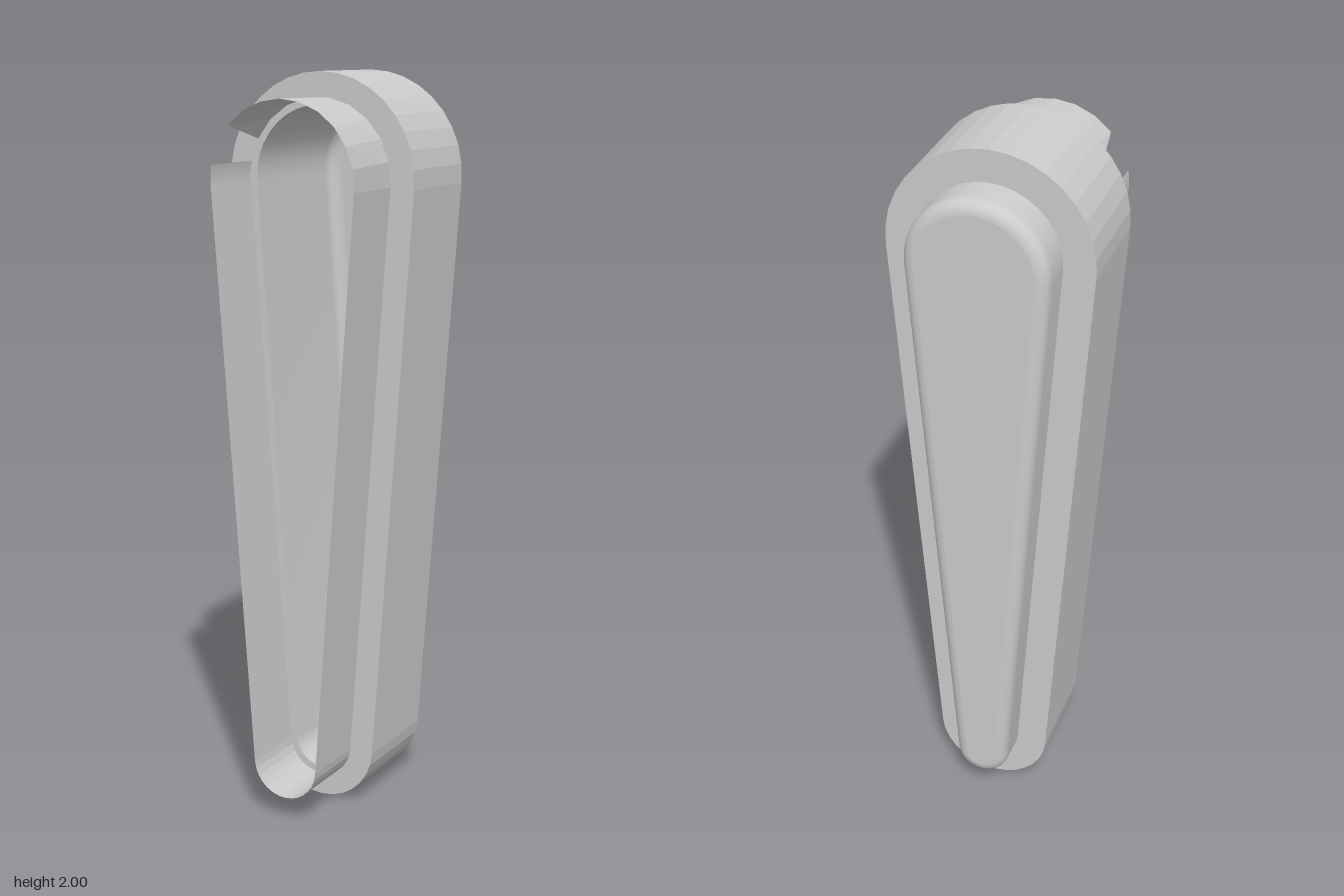
import * as THREE from 'three';
import { toCreasedNormals } from 'three/addons/utils/BufferGeometryUtils.js';

const TOP = 1.725, BOTTOM = 0.16;       // centres of the two end arcs
const R_TOP = 0.275, R_BOTTOM = 0.16;   // their radii on the widest outline
const TILT = Math.asin((R_TOP - R_BOTTOM) / (TOP - BOTTOM));

// Teardrop outline, inset by a distance, running clockwise between two angles on the top arc
function outline(inset, from = Math.PI / 2, to = Math.PI / 2) {
  const points = [];
  const arc = (cy, r, a, b, n) => {
    for (let i = 0; i <= n; i++) {
      const t = a + (b - a) * i / n;
      points.push(new THREE.Vector2(Math.cos(t) * r, cy + Math.sin(t) * r));
    }
  };
  arc(TOP, R_TOP - inset, from, -TILT, 9);
  arc(BOTTOM, R_BOTTOM - inset, -TILT, TILT - Math.PI, 14);
  arc(TOP, R_TOP - inset, Math.PI + TILT, to, 9);
  return points;
}

// Skin a list of sections { inset, z, from, to }
function loft(sections) {
  const positions = [], index = [];
  let count = 0;
  sections.forEach(({ inset, z, from, to }, s) => {
    const ring = outline(inset, from, to);
    count = ring.length;
    ring.forEach(p => positions.push(p.x, p.y, z));
    if (s === 0) return;
    for (let i = 0; i < count - 1; i++) {
      const a = (s - 1) * count + i, b = a + count;
      index.push(a, a + 1, b, a + 1, b + 1, b);
    }
  });
  const geometry = new THREE.BufferGeometry();
  geometry.setAttribute('position', new THREE.Float32BufferAttribute(positions, 3));
  geometry.setIndex(index);
  return geometry;
}

export function createModel() {
  const group = new THREE.Group();
  const flat = new THREE.MeshStandardMaterial({ color: 0xcccccc, side: THREE.DoubleSide, flatShading: true });
  const smooth = new THREE.MeshStandardMaterial({ color: 0xcccccc, side: THREE.DoubleSide });
  const add = (name, geometry, material) => {
    const mesh = new THREE.Mesh(geometry, material);
    mesh.name = name;
    group.add(mesh);
  };

  // Wide middle band with flat rims reaching in to the cup
  add('middleBand', loft([
    { inset: 0.085, z: 0.097 }, { inset: 0, z: 0.097 },
    { inset: 0, z: -0.187 }, { inset: 0.085, z: -0.187 },
  ]), flat);

  // Hollow inner cup, open at the front, with a rounded back edge
  const cupSections = [{ inset: 0.085, z: 0.103 }];
  const fillet = 0.035;
  for (let i = 0; i <= 6; i++) {
    const t = i / 6 * Math.PI / 2;
    cupSections.push({
      inset: 0.085 + fillet * (1 - Math.cos(t)),
      z: -0.3 + fillet * (1 - Math.sin(t)),
    });
  }
  add('innerCup', toCreasedNormals(loft(cupSections), 0.5), smooth);

  // Flat back panel closing the cup
  const panel = new THREE.ShapeGeometry(new THREE.Shape(outline(0.085 + fillet)));
  panel.rotateY(Math.PI).translate(0, 0, -0.3);
  add('backPanel', panel, flat);

  // Narrow lip between the cup and the front skirt
  add('frontLip', loft([{ inset: 0.085, z: 0.103 }, { inset: 0.065, z: 0.103 }]), flat);

  // Thin front skirt with a slanted break near the upper right shoulder
  const deg = Math.PI / 180;
  add('frontSkirt', loft([
    { inset: 0.065, z: 0.103, from: 152 * deg, to: 169 * deg },
    { inset: 0.065, z: 0.3, from: 138 * deg, to: 169 * deg },
  ]), flat);

  return group;
}
